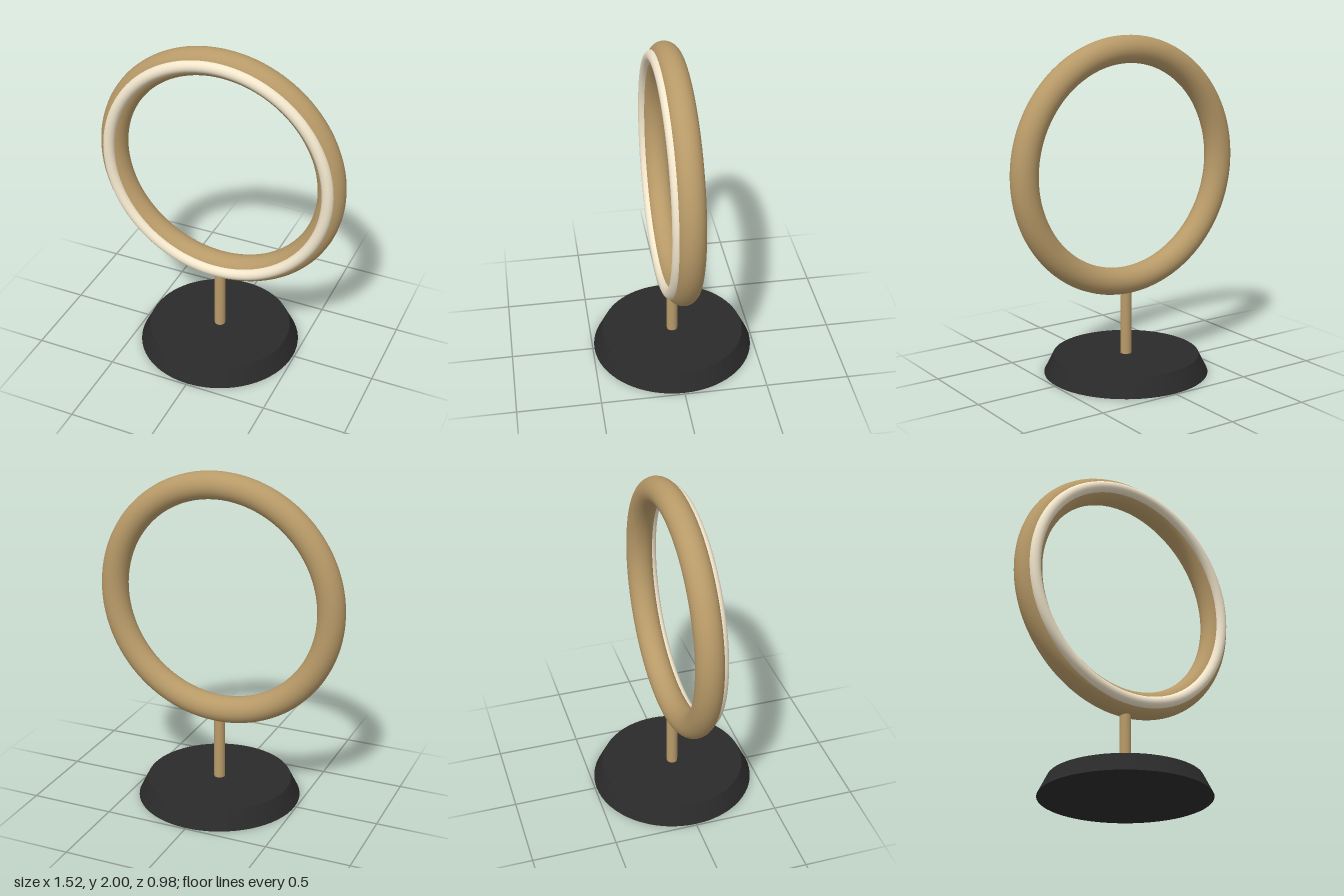
import * as THREE from 'three';

const RING_Y = 1.24;
const RING_R = 0.68;

export function createModel() {
  const group = new THREE.Group();
  const wood = new THREE.MeshStandardMaterial({ color: 0xb89a68 });
  const glow = new THREE.MeshStandardMaterial({ color: 0xf2e6cc });
  const black = new THREE.MeshStandardMaterial({ color: 0x2a2a2a });

  const add = (name, geometry, material, y, z = 0) => {
    const mesh = new THREE.Mesh(geometry, material);
    mesh.name = name;
    mesh.position.set(0, y, z);
    group.add(mesh);
  };

  // Tapered round foot and the stem that reaches into the ring
  add('base', new THREE.CylinderGeometry(0.435, 0.49, 0.11, 64), black, 0.055);
  add('stem', new THREE.CylinderGeometry(0.033, 0.033, 0.43, 32), wood, 0.305);

  // Thick upright ring with a light tube set into its front
  add('ring', new THREE.TorusGeometry(RING_R, 0.08, 32, 128), wood, RING_Y);
  add('lightTube', new THREE.TorusGeometry(RING_R, 0.035, 24, 128), glow, RING_Y, 0.07);

  return group;
}
